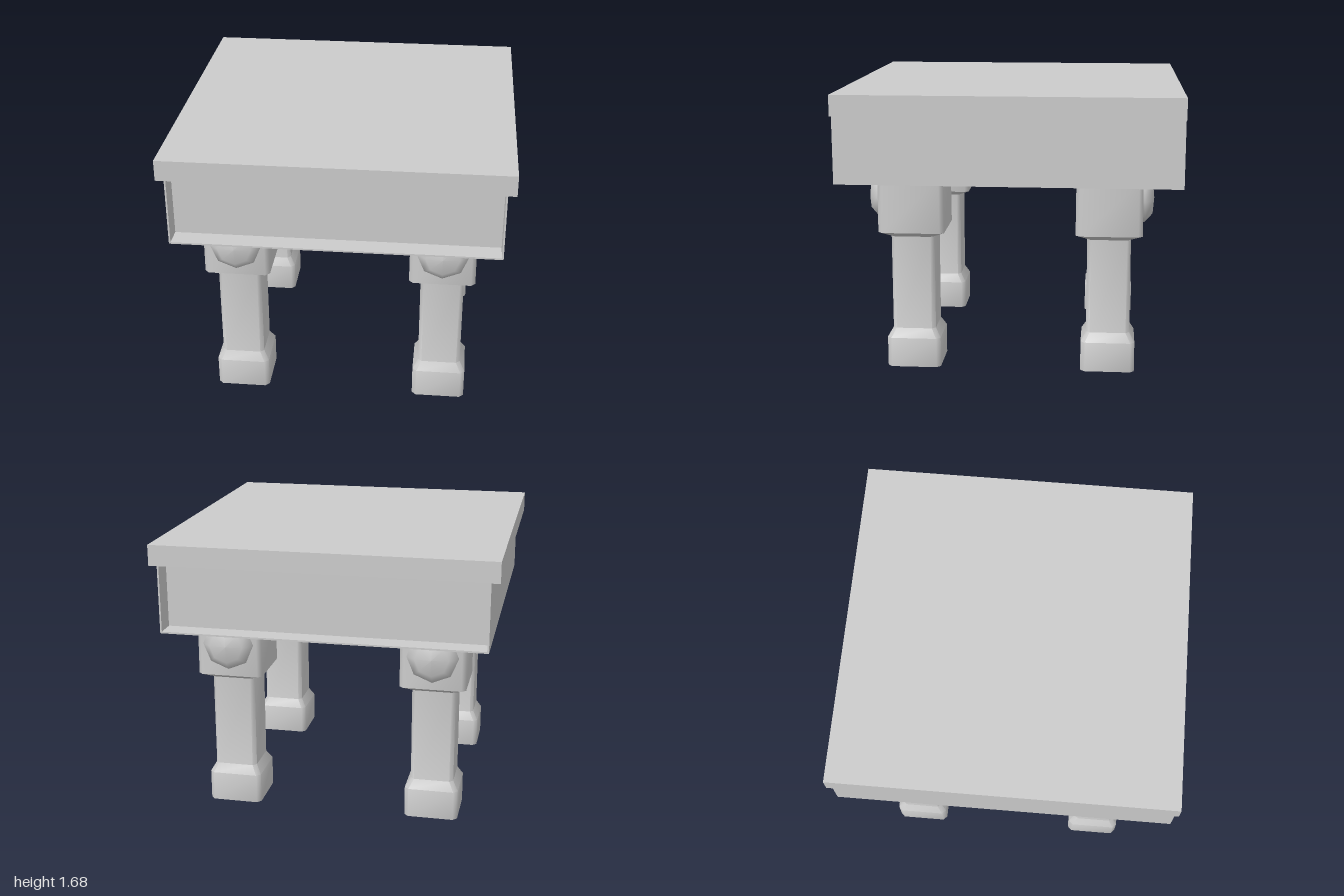
import * as THREE from 'three';
import { toCreasedNormals } from 'three/addons/utils/BufferGeometryUtils.js';

const material = new THREE.MeshStandardMaterial({ color: 0xcccccc });

function part(name, geometry, x = 0, y = 0, z = 0) {
  const mesh = new THREE.Mesh(geometry, material);
  mesh.name = name;
  mesh.position.set(x, y, z);
  return mesh;
}

// Square ring with chamfered corners, counter-clockwise seen from above
function ring(h, c, y) {
  const k = h - c;
  return [[h, k], [k, h], [-k, h], [-h, k], [-h, -k], [-k, -h], [k, -h], [h, -k]]
    .map(([x, z]) => new THREE.Vector3(x, y, -z));
}

// Skin a stack of [half width, chamfer, height] sections, bottom to top, with closed ends
function loft(sections) {
  const rings = sections.map(([h, c, y]) => ring(h, c, y));
  const pos = [];
  const tri = (...pts) => pts.forEach((p) => pos.push(p.x, p.y, p.z));
  for (let i = 0; i < rings.length - 1; i++) {
    for (let j = 0; j < 8; j++) {
      const k = (j + 1) % 8;
      const a = rings[i][j], b = rings[i][k], c = rings[i + 1][k], d = rings[i + 1][j];
      tri(a, b, c);
      tri(a, c, d);
    }
  }
  const low = rings[0], high = rings[rings.length - 1];
  for (let j = 1; j < 7; j++) {
    tri(low[0], low[j + 1], low[j]);
    tri(high[0], high[j], high[j + 1]);
  }
  const geometry = new THREE.BufferGeometry();
  geometry.setAttribute('position', new THREE.Float32BufferAttribute(pos, 3));
  return toCreasedNormals(geometry, 0.9);
}

export function createModel() {
  const model = new THREE.Group();
  model.name = 'table';

  // Top slab
  model.add(part('tableTop', new THREE.BoxGeometry(2, 0.122, 2), 0, 1.617, 0));

  // Apron: front and back panels sit recessed between thin side walls and a thin bottom board
  model.add(part('apronCore', new THREE.BoxGeometry(1.88, 0.39, 1.76), 0, 1.361, 0));
  model.add(part('apronBottom', new THREE.BoxGeometry(1.88, 0.01, 2), 0, 1.161, 0));
  for (const side of [-1, 1]) {
    const name = side > 0 ? 'leftApronWall' : 'rightApronWall';
    model.add(part(name, new THREE.BoxGeometry(0.01, 0.4, 2), side * 0.945, 1.356, 0));
  }

  // Leg: foot, shaft and wider head block
  const legGeometry = loft([
    [0.161, 0.025, 0], [0.161, 0.025, 0.18], [0.129, 0.022, 0.235],
    [0.129, 0.022, 0.805], [0.196, 0.025, 0.84], [0.194, 0.025, 1.16],
  ]);

  // Octagonal domed boss, turned to face +z
  const profile = [[0.15, -0.03], [0.152, 0.02], [0.1, 0.065], [0, 0.075]]
    .map(([r, y]) => new THREE.Vector2(r, y));
  const bossGeometry = new THREE.LatheGeometry(profile, 8).rotateX(Math.PI / 2);

  for (const sx of [-1, 1]) {
    for (const sz of [-1, 1]) {
      const leg = new THREE.Group();
      leg.name = (sz > 0 ? 'front' : 'back') + (sx > 0 ? 'Left' : 'Right') + 'Leg';
      leg.add(part('legPost', legGeometry));
      const boss = part('legBoss', bossGeometry, 0, 1.04, sz * 0.188);
      if (sz < 0) boss.rotation.y = Math.PI;
      leg.add(boss);
      leg.position.set(sx * 0.612, 0, sz * 0.583);
      model.add(leg);
    }
  }
  return model;
}
